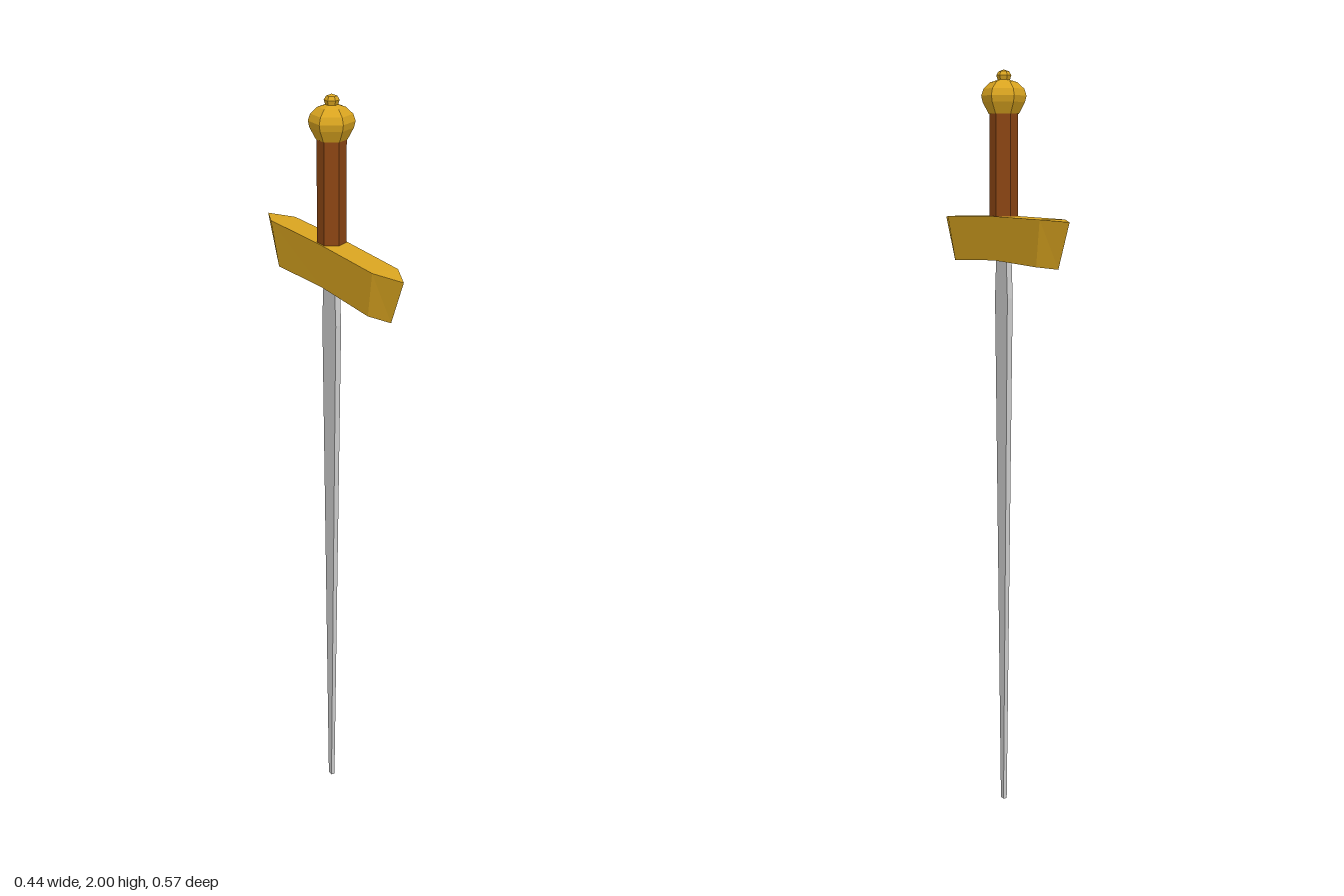
import * as THREE from 'three';

const mat = (color) => new THREE.MeshStandardMaterial({ color, flatShading: true });

// Closed solid through a row of four-cornered sections, capped at both ends
function loft(sections) {
  const pos = [];
  const quad = (a, b, c, d) => pos.push(...a, ...b, ...c, ...a, ...c, ...d);
  for (let s = 0; s < sections.length - 1; s++) {
    const a = sections[s], b = sections[s + 1];
    for (let i = 0; i < 4; i++) {
      const j = (i + 1) % 4;
      quad(a[i], a[j], b[j], b[i]);
    }
  }
  const first = sections[0];
  quad(first[3], first[2], first[1], first[0]);
  quad(...sections[sections.length - 1]);
  const geo = new THREE.BufferGeometry();
  geo.setAttribute('position', new THREE.Float32BufferAttribute(pos, 3));
  geo.computeVertexNormals();
  return geo;
}

// Six-sided turned shape with a corner on the guard's axis
function hexLathe(profile) {
  const points = profile.map(([r, y]) => new THREE.Vector2(r, y));
  return new THREE.LatheGeometry(points, 6, Math.PI / 2);
}

export function createModel() {
  const sword = new THREE.Group();
  sword.name = 'sword';
  const gold = mat(0xdaa520);
  const add = (name, geometry, material) => {
    const mesh = new THREE.Mesh(geometry, material);
    mesh.name = name;
    sword.add(mesh);
  };

  // Blade: thin rectangular section, tapering to a blunt tip
  const bladeSections = [[0, 0.008, 0.005], [1.4, 0.0365, 0.008], [1.53, 0.028, 0.008]]
    .map(([y, w, t]) => [[-w, y, t], [w, y, t], [w, y, -t], [-w, y, -t]]);
  add('blade', loft(bladeSections), mat(0xcccccc));

  // Guard: slightly drooping bar with pointed ends, narrower underneath
  // Each row: top reach, top y, top half width, bottom reach, bottom y, bottom half width
  const half = [
    [0, 1.617, 0.037, 0, 1.5, 0.03],
    [0.271, 1.613, 0.037, 0.24, 1.492, 0.03],
    [0.36, 1.608, 0, 0.303, 1.488, 0],
  ];
  const section = ([ut, yt, wt, ub, yb, wb], side) => [
    [side * ut, yt, -wt], [side * ut, yt, wt], [side * ub, yb, wb], [side * ub, yb, -wb],
  ];
  const guardSections = [
    ...half.slice(1).reverse().map((row) => section(row, -1)),
    ...half.map((row) => section(row, 1)),
  ];
  add('guard', loft(guardSections), gold);

  // Grip
  add('grip', hexLathe([[0, 1.6], [0.038, 1.6], [0.038, 1.9], [0, 1.9]]), mat(0x8b4513));

  // Pommel with a small knob on top
  add('pommel', hexLathe([
    [0, 1.885], [0.04, 1.885], [0.056, 1.915], [0.06, 1.932], [0.054, 1.95],
    [0.036, 1.967], [0.016, 1.973], [0.02, 1.985], [0.014, 1.995], [0, 2],
  ]), gold);

  // The whole sword is turned so the guard runs diagonally
  sword.rotation.y = -0.914;
  const model = new THREE.Group();
  model.name = 'model';
  model.add(sword);
  return model;
}
